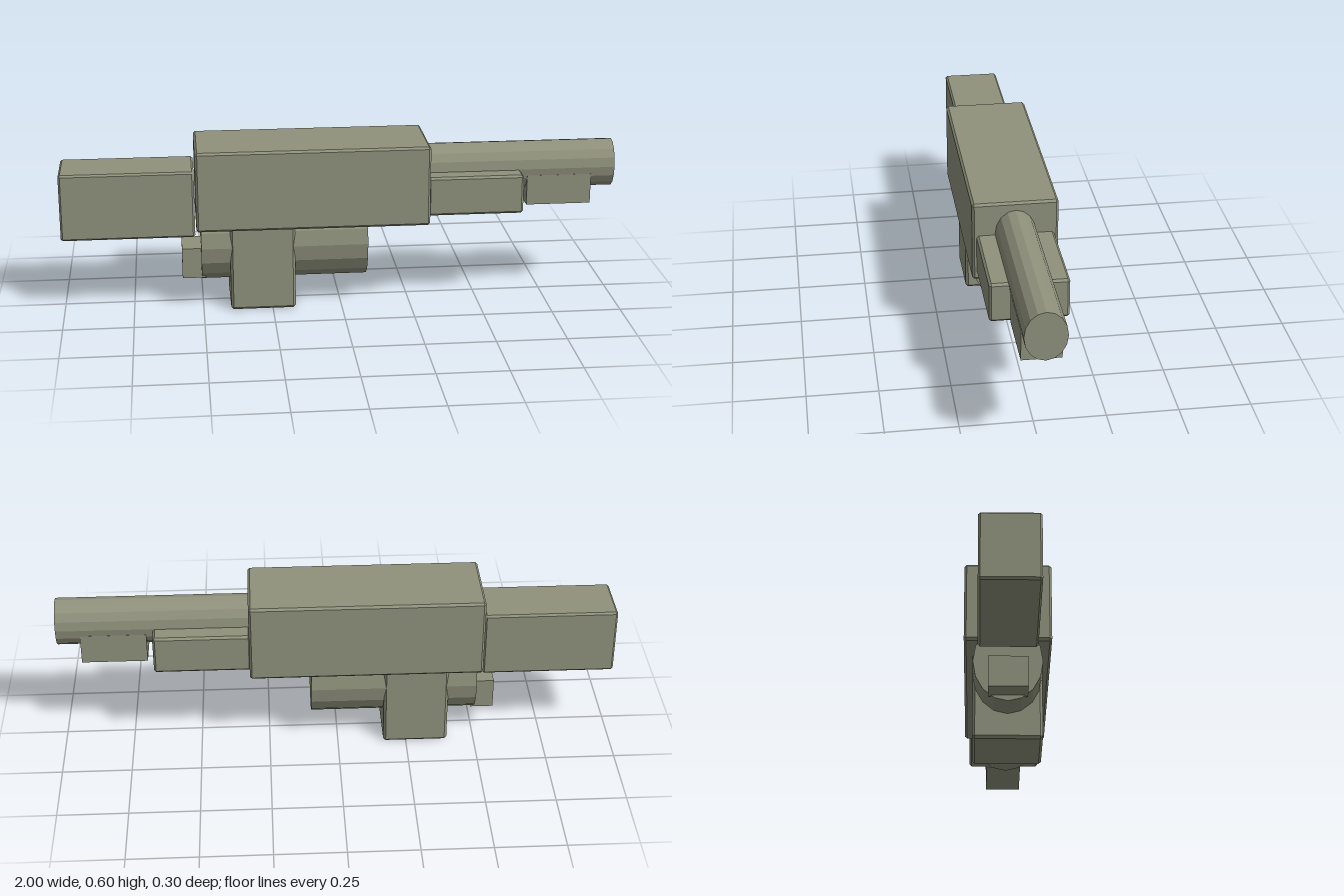
import * as THREE from 'three';
import { ConvexGeometry } from 'three/addons/geometries/ConvexGeometry.js';

// Box between two corners with every edge cut by a flat chamfer
function chamferBox(w, h, d, c) {
  const points = [];
  for (const sx of [-1, 1]) for (const sy of [-1, 1]) for (const sz of [-1, 1]) {
    const x = sx * w / 2, y = sy * h / 2, z = sz * d / 2;
    points.push(
      new THREE.Vector3(x, y - sy * c, z - sz * c),
      new THREE.Vector3(x - sx * c, y, z - sz * c),
      new THREE.Vector3(x - sx * c, y - sy * c, z));
  }
  return new ConvexGeometry(points);
}

export function createModel() {
  const model = new THREE.Group();
  const olive = new THREE.MeshStandardMaterial({ color: 0x8f917c, flatShading: true });
  olive.name = 'olive grey';

  function add(name, geometry, x, y) {
    const mesh = new THREE.Mesh(geometry, olive);
    mesh.name = name;
    mesh.position.set(x, y, 0);
    model.add(mesh);
  }

  // Block from x and y ranges and a depth, with an optional chamfer
  function block(name, x0, x1, y0, y1, depth, chamfer = 0) {
    const w = x1 - x0, h = y1 - y0;
    const geometry = chamfer ? chamferBox(w, h, depth, chamfer) : new THREE.BoxGeometry(w, h, depth);
    add(name, geometry, (x0 + x1) / 2, (y0 + y1) / 2);
  }

  // Sixteen-sided oval cylinder lying along x
  function ovalTube(name, x0, x1, y, ry, rz) {
    const geometry = new THREE.CylinderGeometry(1, 1, x1 - x0, 16);
    geometry.rotateZ(-Math.PI / 2).scale(1, ry, rz);
    add(name, geometry, (x0 + x1) / 2, y);
  }

  // Main body and rear block
  block('body', -0.52, 0.316, 0.31, 0.602, 0.3, 0.008);
  block('rearBlock', -1, -0.524, 0.277, 0.521, 0.205, 0.007);

  // Long tube with its support blocks
  ovalTube('frontTube', 0.3, 1, 0.485, 0.0875, 0.071);
  block('frontSleeve', 0.31, 0.656, 0.34, 0.483, 0.27, 0.008);
  block('tubeFoot', 0.68, 0.915, 0.35, 0.46, 0.135);

  // Drum slung below the body, its clamp and end cap
  ovalTube('drum', -0.504, 0.096, 0.236, 0.147, 0.119);
  block('clamp', -0.401, -0.167, 0, 0.32, 0.24, 0.009);
  block('drumCap', -0.573, -0.49, 0.11, 0.222, 0.135);

  return model;
}
